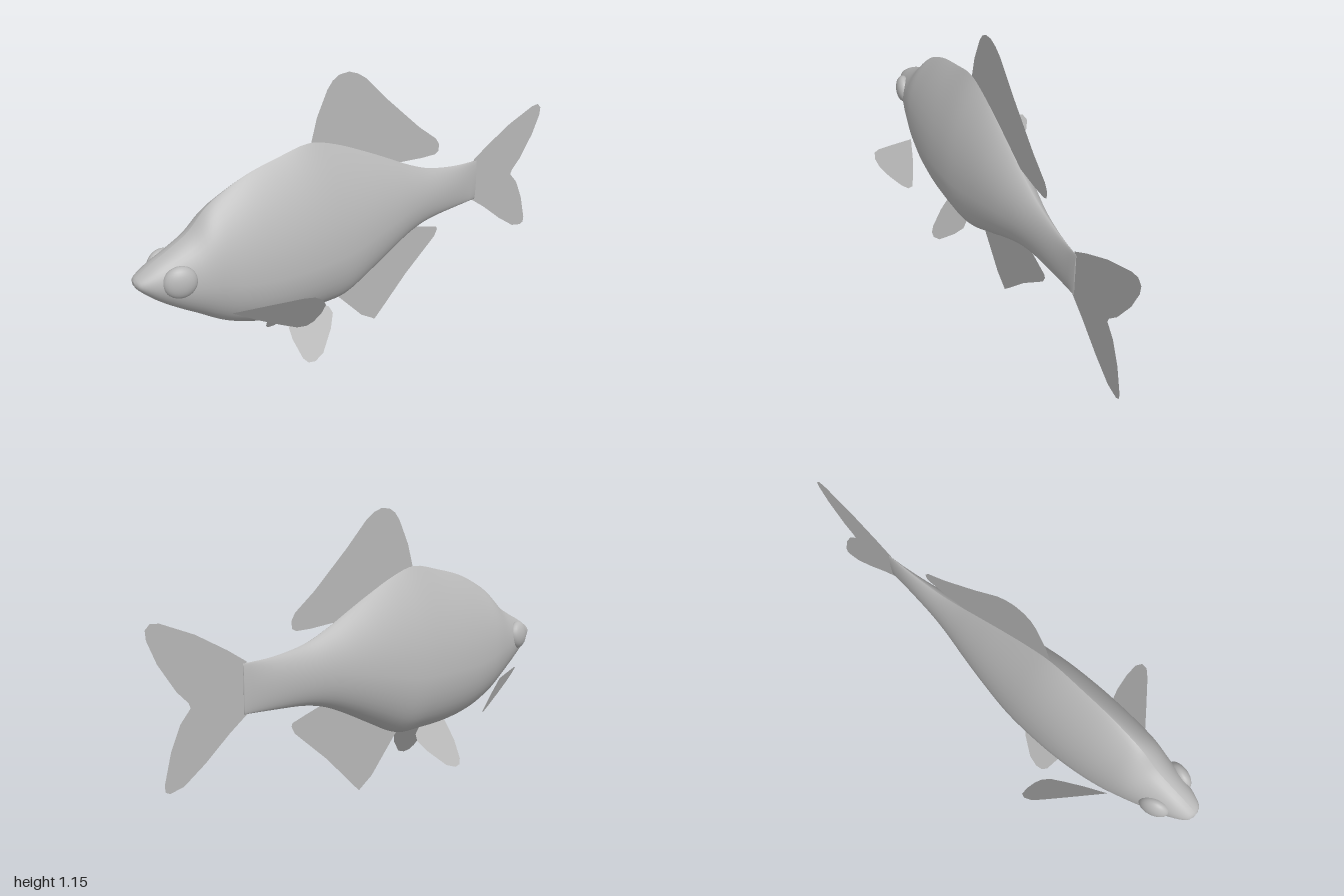
import * as THREE from 'three';

const skin = new THREE.MeshStandardMaterial({ color: 0xb8b8b8 });
skin.name = 'grey skin';
const finSkin = new THREE.MeshStandardMaterial({ color: 0xb8b8b8, side: THREE.DoubleSide });
finSkin.name = 'grey fin';

// Body stations, nose to tail: x, top, bottom, half width, height fraction of widest point, roundness of the back (0.5 = ellipse)
const stations = [
  [-1.0, 0.575, 0.558, 0.012, 0.5, 0.5],
  [-0.985, 0.59, 0.535, 0.04, 0.5, 0.5],
  [-0.93, 0.622, 0.48, 0.068, 0.5, 0.5],
  [-0.86, 0.655, 0.425, 0.088, 0.48, 0.52],
  [-0.78, 0.7, 0.37, 0.11, 0.46, 0.58],
  [-0.71, 0.768, 0.32, 0.126, 0.43, 0.68],
  [-0.64, 0.81, 0.282, 0.138, 0.4, 0.78],
  [-0.53, 0.855, 0.242, 0.149, 0.38, 0.87],
  [-0.4, 0.885, 0.22, 0.154, 0.37, 0.93],
  [-0.26, 0.908, 0.212, 0.15, 0.36, 1.0],
  [-0.14, 0.875, 0.215, 0.139, 0.38, 0.95],
  [0.0, 0.81, 0.278, 0.118, 0.4, 0.85],
  [0.12, 0.748, 0.337, 0.095, 0.42, 0.8],
  [0.23, 0.69, 0.383, 0.07, 0.45, 0.75],
  [0.34, 0.645, 0.407, 0.048, 0.48, 0.7],
  [0.48, 0.617, 0.415, 0.027, 0.5, 0.65],
  [0.615, 0.608, 0.42, 0.006, 0.5, 0.6],
];

// Loft of closed sections, with a seam along the back that keeps the ridge sharp
function bodyGeometry(rows = 64, cols = 40) {
  const outline = new THREE.CatmullRomCurve3(
    stations.map((s) => new THREE.Vector3(s[0], s[1], s[2])), false, 'catmullrom');
  const girth = new THREE.CatmullRomCurve3(
    stations.map((s) => new THREE.Vector3(s[3], s[4], s[5])), false, 'catmullrom');
  const position = [];
  const index = [];
  for (let i = 0; i <= rows; i++) {
    const { x, y: top, z: bottom } = outline.getPoint(i / rows);
    const { x: half, y: fraction, z: power } = girth.getPoint(i / rows);
    const middle = bottom + (top - bottom) * fraction;
    for (let j = 0; j <= cols; j++) {
      const a = (j / cols) * Math.PI * 2;
      const c = Math.cos(a);
      const s = Math.sin(a);
      const width = c > 0 ? Math.pow(Math.abs(s), 2 * power) : Math.abs(s);
      const y = middle + c * (c > 0 ? top - middle : middle - bottom);
      position.push(x, y, Math.sign(s) * width * half);
    }
  }
  for (let i = 0; i < rows; i++) {
    for (let j = 0; j < cols; j++) {
      const a = i * (cols + 1) + j;
      const b = a + cols + 1;
      index.push(a, a + 1, b, b, a + 1, b + 1);
    }
  }
  // Small end caps at the lips and the tail root
  const last = rows * (cols + 1);
  for (let j = 1; j < cols - 1; j++) {
    index.push(0, j + 1, j, last, last + j, last + j + 1);
  }
  const geometry = new THREE.BufferGeometry();
  geometry.setAttribute('position', new THREE.Float32BufferAttribute(position, 3));
  geometry.setIndex(index);
  geometry.computeVertexNormals();
  return geometry;
}

// Flat fin outline in the x-y plane; an optional rule gives z from y
function fin(points, zOf) {
  const geometry = new THREE.ShapeGeometry(
    new THREE.Shape(points.map(([x, y]) => new THREE.Vector2(x, y))));
  if (zOf) {
    const p = geometry.attributes.position;
    for (let i = 0; i < p.count; i++) p.setZ(i, zOf(p.getX(i), p.getY(i)));
    geometry.computeVertexNormals();
  }
  return geometry;
}

const dorsal = [[-0.25, 0.9], [-0.22, 1.0], [-0.17, 1.1], [-0.145, 1.13], [-0.115, 1.147], [-0.07, 1.15],
  [-0.03, 1.135], [0.01, 1.108], [0.12, 0.995], [0.28, 0.845], [0.375, 0.77], [0.393, 0.74],
  [0.39, 0.71], [0.37, 0.7], [0.3, 0.702], [0.17, 0.715], [0.0, 0.75], [-0.2, 0.84]];
const anal = [[-0.16, 0.215], [-0.085, 0.13], [-0.015, 0.05], [0.03, 0.02], [0.055, 0.002], [0.09, 0.035],
  [0.225, 0.17], [0.385, 0.305], [0.4, 0.335], [0.395, 0.348], [0.33, 0.37], [0.26, 0.392],
  [0.1, 0.42], [-0.1, 0.3]];
const tail = [[0.6, 0.615], [0.68, 0.665], [0.81, 0.735], [0.945, 0.787], [0.98, 0.79], [1.0, 0.77],
  [0.997, 0.735], [0.96, 0.65], [0.89, 0.545], [0.845, 0.5], [0.837, 0.48], [0.88, 0.43], [0.92, 0.34],
  [0.95, 0.225], [0.947, 0.2], [0.93, 0.192], [0.875, 0.205], [0.785, 0.27], [0.68, 0.36], [0.6, 0.42]];
const pelvic = [[-0.417, 0.25], [-0.422, 0.145], [-0.407, 0.075], [-0.39, 0.055], [-0.36, 0.05],
  [-0.315, 0.065], [-0.245, 0.13], [-0.213, 0.175], [-0.22, 0.2], [-0.3, 0.25]];
const pectoral = [[-0.69, 0.385], [-0.59, 0.447], [-0.515, 0.492], [-0.487, 0.5], [-0.46, 0.485], [-0.44, 0.45],
  [-0.433, 0.395], [-0.435, 0.33], [-0.445, 0.295], [-0.47, 0.282], [-0.52, 0.3], [-0.6, 0.335]];

export function createModel() {
  const model = new THREE.Group();
  model.name = 'fish';
  const add = (name, geometry, material = finSkin) => {
    const mesh = new THREE.Mesh(geometry, material);
    mesh.name = name;
    model.add(mesh);
    return mesh;
  };

  add('body', bodyGeometry(), skin);
  add('dorsalFin', fin(dorsal));
  add('analFin', fin(anal));
  add('tailFin', fin(tail));

  // Paired parts, mirrored across the body
  for (const [side, label] of [[1, 'left'], [-1, 'right']]) {
    add(label + 'PelvicFin', fin(pelvic, (x, y) => side * (0.04 + (0.22 - y) * 0.69)));
    add(label + 'PectoralFin', fin(pectoral,
      (x, y) => side * (0.13 + (x + 0.67) * 0.76 + (y - 0.38) * 0.78)));
    const eye = add(label + 'Eye', new THREE.SphereGeometry(1, 24, 16), skin);
    eye.scale.set(0.062, 0.062, 0.035);
    eye.position.set(-0.86, 0.56, side * 0.078);
    eye.rotation.y = -side * 0.25;
  }
  return model;
}
